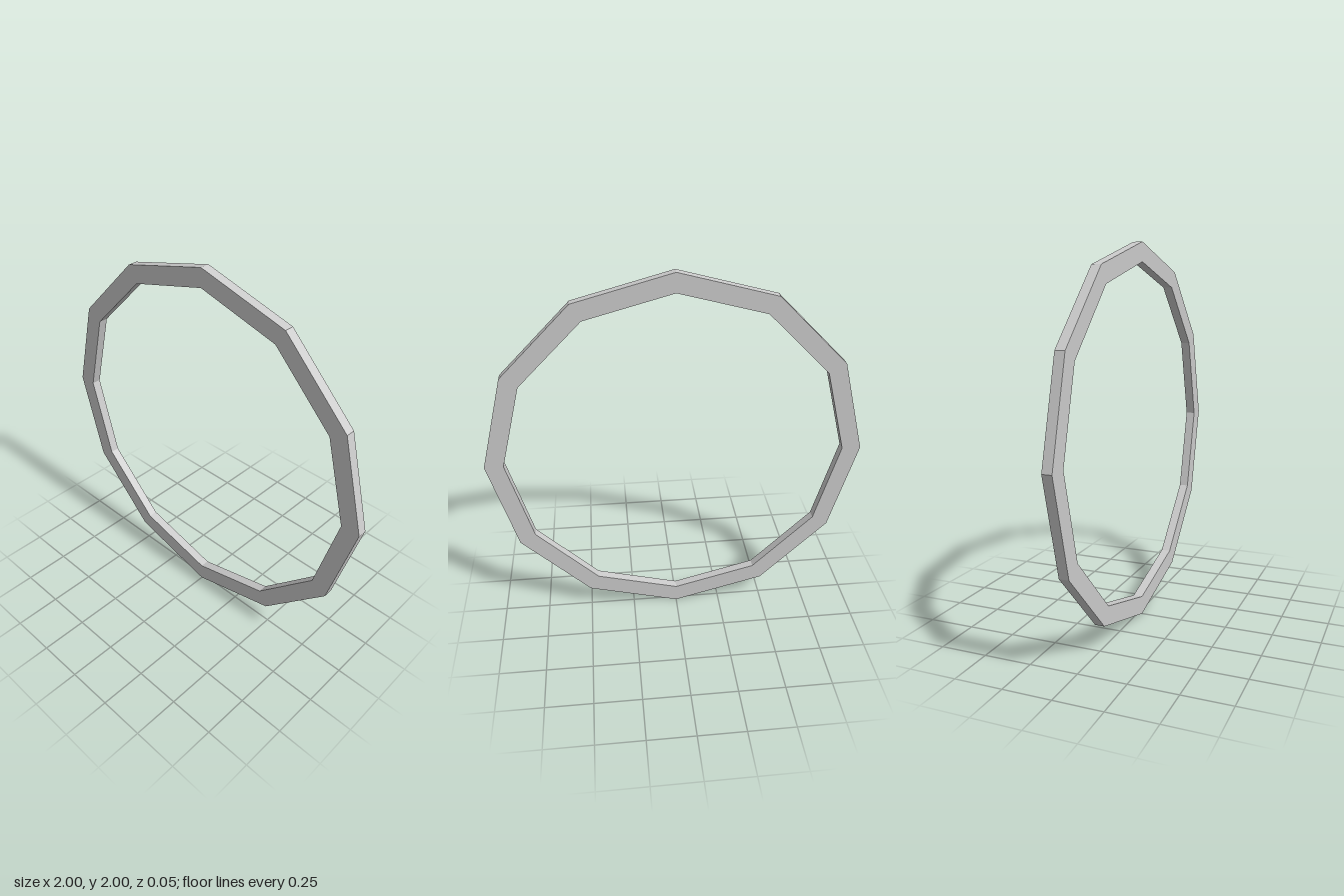
import * as THREE from 'three';

const SIDES = 12;
const OUTER = 1;
const INNER = 0.9;
const HALF_DEPTH = 0.025;

export function createModel() {
  const group = new THREE.Group();
  group.name = 'twelveSidedRing';

  // Rectangular cross-section, swept around the axis in twelve straight segments
  const section = [
    [INNER, -HALF_DEPTH],
    [OUTER, -HALF_DEPTH],
    [OUTER, HALF_DEPTH],
    [INNER, HALF_DEPTH],
    [INNER, -HALF_DEPTH],
  ].map(([r, h]) => new THREE.Vector2(r, h));

  const geometry = new THREE.LatheGeometry(section, SIDES);
  geometry.rotateX(Math.PI / 2); // stand the ring upright, facing +z
  geometry.translate(0, OUTER, 0);

  const ring = new THREE.Mesh(
    geometry,
    new THREE.MeshStandardMaterial({ color: 0xcccccc, flatShading: true })
  );
  ring.name = 'ring';
  group.add(ring);
  return group;
}
